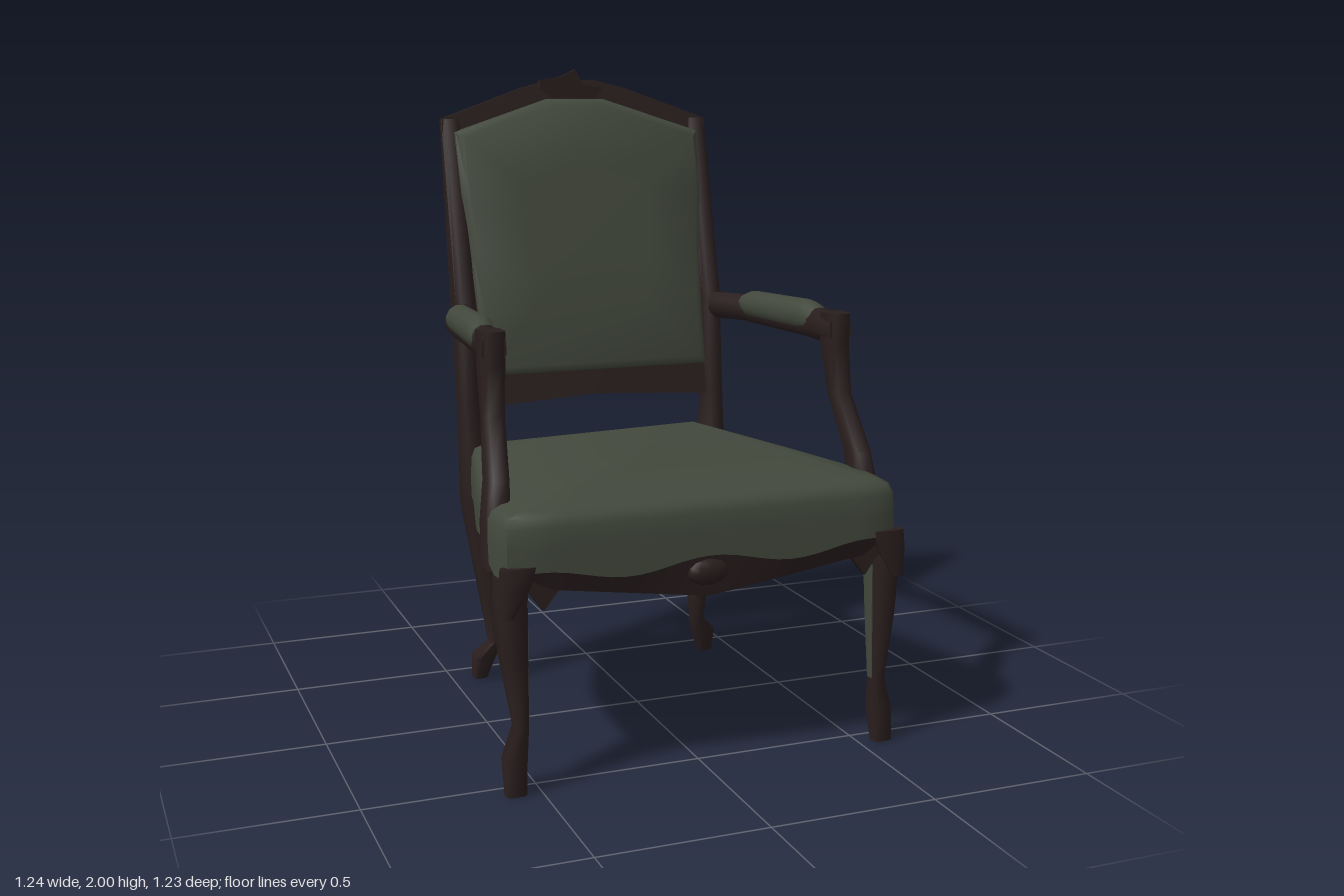
import * as THREE from 'three';
import { toCreasedNormals } from 'three/addons/utils/BufferGeometryUtils.js';

// Double-sided, as the seat is an open shell underneath
const wood = new THREE.MeshStandardMaterial({ color: 0x2a1e1e, side: THREE.DoubleSide });
wood.name = 'dark wood';
const fabric = new THREE.MeshStandardMaterial({ color: 0x42483c, side: THREE.DoubleSide });
fabric.name = 'green upholstery';

// Skin rings that run counter-clockwise around their direction of travel.
// start and end are optional cap centres.
function loft(rings, start, end, crease = 0.8) {
  const n = rings[0].length, pos = rings.flat(2), idx = [];
  for (let i = 0; i < rings.length - 1; i++) {
    for (let j = 0; j < n; j++) {
      const k = (j + 1) % n, a = i * n + j, b = i * n + k;
      idx.push(a, b, b + n, a, b + n, a + n);
    }
  }
  const cap = (centre, base, flip) => {
    const c = pos.length / 3;
    pos.push(...centre);
    for (let j = 0; j < n; j++) {
      const a = base + j, b = base + (j + 1) % n;
      idx.push(c, flip ? b : a, flip ? a : b);
    }
  };
  if (start) cap(start, 0, true);
  if (end) cap(end, (rings.length - 1) * n, false);
  const g = new THREE.BufferGeometry();
  g.setAttribute('position', new THREE.Float32BufferAttribute(pos, 3));
  g.setIndex(idx);
  g.computeVertexNormals();
  return toCreasedNormals(g, crease);
}

// Upright bar with chamfered edges, rows: [x, y, z, halfX, halfZ] from the floor up
function upright(rows, s) {
  const corners = [[1, 0.6], [1, -0.6], [0.6, -1], [-0.6, -1], [-1, -0.6], [-1, 0.6], [-0.6, 1], [0.6, 1]];
  const rings = rows.map(([x, y, z, a, b]) => corners.map(([u, v]) => [s * x + u * a, y, z + v * b]));
  const mid = ([x, y, z]) => [s * x, y, z];
  return loft(rings, mid(rows[0]), mid(rows.at(-1)), 1);
}

// Rounded bar along z, rows: [x, y, z, halfX, halfY] from back to front
function lengthwise(rows, s, sides) {
  const r = 1 / Math.cos(Math.PI / sides);
  const rings = rows.map(([x, y, z, a, b]) => Array.from({ length: sides }, (_, i) => {
    const t = ((i + 0.5) / sides) * Math.PI * 2;
    return [s * x + a * r * Math.cos(t), y + b * r * Math.sin(t), z];
  }));
  const mid = ([x, y, z]) => [s * x, y, z];
  return loft(rings, mid(rows[0]), mid(rows.at(-1)), 1.1);
}

const shapeOf = pts => new THREE.Shape(pts.map(p => new THREE.Vector2(...p)));
const mirrorLoop = half => [...half, ...half.slice().reverse().map(([x, y]) => [-x, y])];

// Raked planes of the backrest
const backZ = y => -0.445 - (y - 0.92) * 0.163;
const frontZ = y => y < 1.2 ? -0.387 - (y - 0.92) * 0.075 : -0.408 - (y - 1.2) * 0.25;

export function createModel() {
  const chair = new THREE.Group();
  chair.name = 'armchair';
  const add = (name, geo, mat) => {
    const m = new THREE.Mesh(geo, mat);
    m.name = name;
    chair.add(m);
    return m;
  };

  // Seat outline, tapering to the back, as [x, z]
  const outline = shapeOf(mirrorLoop([[0.5, 0.595], [0.6, 0.575], [0.615, 0.43], [0.54, 0.06], [0.43, -0.4]]));
  outline.closePath();
  const rim = outline.getSpacedPoints(96).slice(0, -1).map(p => [p.x, p.y]);
  const lower = (x, z) => z > 0.57 ? 0.52 + 0.14 * Math.abs(x)
    : z > -0.395 ? 0.52 + 0.18 * Math.abs(z - 0.06) : 0.6;
  // Wavy seam between wood and fabric; the fabric drops lower at the front corners
  const wave = (x, z) => z > 0.57 ? 0.625 + 0.018 * Math.cos(Math.abs(x) * 12.5)
    : z > 0.46 ? 0.615 : 0.653 + 0.012 * Math.cos((z - 0.06) * 15 + Math.PI);
  const ring = (k, y) => rim.map(([x, z]) =>
    [x * k, typeof y === 'function' ? y(x, z) : y, 0.1 + (z - 0.1) * k]);
  add('seatCushion', loft([ring(1, wave), ring(1, 0.71), ring(0.995, 0.765), ring(0.975, 0.792), ring(0.93, 0.805)],
    null, [0.2, 0.897, -0.03], 1), fabric);
  add('apron', loft([ring(0.97, lower), ring(1, wave)]), wood);

  // Carved shell in the middle of the front apron
  const shell = add('apronShell', new THREE.SphereGeometry(1, 12, 8), wood);
  shell.scale.set(0.065, 0.04, 0.025);
  shell.position.set(-0.01, 0.595, 0.585);

  // Backrest: a solid wooden panel, thinning toward the arched top
  const panel = new THREE.ExtrudeGeometry(shapeOf(mirrorLoop([
    [0, 0.94], [0.46, 0.915], [0.46, 1.84], [0.18, 1.94], [0.08, 1.965],
  ])), { depth: 1, bevelEnabled: false });
  const p = panel.attributes.position;
  for (let i = 0; i < p.count; i++) {
    const y = p.getY(i);
    p.setZ(i, p.getZ(i) > 0.5 ? frontZ(y) : backZ(y));
  }
  panel.computeVertexNormals();
  add('backPanel', panel, wood);

  // Back cushion, swelling forward of the panel, more so toward the top
  const pad = mirrorLoop([[0.4, 1.02], [0.39, 1.2], [0.4, 1.4], [0.42, 1.6], [0.425, 1.8], [0.1, 1.905]]);
  const padRing = (k, out) => pad.map(([x, y0]) => {
    const y = 1.45 + (y0 - 1.45) * k;
    return [x * k, y, frontZ(y) + out * (0.3 + 0.7 * (y - 1.02) / 0.8)];
  });
  add('backCushion', loft([padRing(1, -0.01), padRing(0.99, 0.015), padRing(0.94, 0.038), padRing(0.5, 0.038)],
    null, [0, 1.45, frontZ(1.45) + 0.026]), fabric);

  // Carved crest
  const crest = new THREE.ExtrudeGeometry(shapeOf([
    [-0.12, 1.94], [-0.07, 1.9], [0.07, 1.9], [0.1, 1.94], [0.03, 1.95], [0.005, 2], [-0.05, 1.975], [-0.12, 1.965],
  ]), { depth: 0.018, bevelEnabled: false });
  crest.translate(0, 0, -0.605);
  add('crest', crest, wood);

  for (const [s, side] of [[1, 'left'], [-1, 'right']]) {
    // Front leg: slim ankle and small foot
    const frontLeg = [
      [0.575, 0, 0.557, 0.03, 0.019], [0.573, 0.1, 0.54, 0.032, 0.037], [0.557, 0.2, 0.55, 0.02, 0.027],
      [0.572, 0.4, 0.535, 0.036, 0.045], [0.577, 0.55, 0.527, 0.042, 0.055], [0.572, 0.62, 0.52, 0.04, 0.06],
    ];
    add(side + 'FrontLeg', upright(frontLeg, s), wood);
    // Green strip on the inner face of the leg
    add(side + 'LegStrip', upright(frontLeg.slice(2, 5).map(([x, y, z, a, b]) =>
      [x - a, y, z, 0.004, b * 0.5]), s), fabric);

    // Carved knee over the front corner, and the pointed scroll beside it
    add(side + 'Knee', upright([
      [0.6, 0.52, 0.58, 0.016, 0.016], [0.578, 0.6, 0.577, 0.042, 0.022], [0.565, 0.66, 0.577, 0.05, 0.02],
    ], s), wood);
    const scrollPts = [[0.44, 0.6], [0.495, 0.53], [0.54, 0.59], [0.52, 0.65]].map(([x, y]) => [s * x, y]);
    const scroll = new THREE.ExtrudeGeometry(shapeOf(scrollPts), { depth: 0.03, bevelEnabled: false });
    scroll.translate(0, 0, 0.55);
    add(side + 'KneeScroll', scroll, wood);

    // Back leg with kicked-out foot, continuing up as the back post
    add(side + 'BackLeg', upright([
      [0.408, 0, -0.41, 0.022, 0.025], [0.395, 0.08, -0.4, 0.036, 0.042], [0.363, 0.13, -0.375, 0.02, 0.028],
      [0.373, 0.3, -0.385, 0.037, 0.037], [0.39, 0.6, -0.393, 0.07, 0.052], [0.425, 0.8, -0.405, 0.036, 0.045],
      [0.43, 0.95, -0.415, 0.031, 0.035], [0.43, 1.25, -0.45, 0.032, 0.048], [0.43, 1.84, -0.58, 0.031, 0.014],
    ], s), wood);

    // Arm, front support and upholstered pad
    add(side + 'Arm', lengthwise([
      [0.435, 1.215, -0.44, 0.038, 0.042], [0.5, 1.22, -0.26, 0.04, 0.042], [0.504, 1.212, -0.22, 0.034, 0.036],
      [0.532, 1.212, 0.13, 0.034, 0.036], [0.535, 1.222, 0.18, 0.038, 0.047], [0.545, 1.218, 0.3, 0.036, 0.047],
    ], s, 8), wood);
    add(side + 'ArmSupport', upright([
      [0.575, 0.62, 0.415, 0.042, 0.057], [0.578, 0.75, 0.4, 0.036, 0.052], [0.568, 0.86, 0.38, 0.032, 0.042],
      [0.55, 1.02, 0.293, 0.032, 0.026], [0.545, 1.17, 0.264, 0.035, 0.046], [0.545, 1.267, 0.264, 0.036, 0.047],
    ], s), wood);
    add(side + 'ArmPad', lengthwise([
      [0.498, 1.237, -0.265, 0.036, 0.03], [0.502, 1.235, -0.225, 0.044, 0.044],
      [0.53, 1.238, 0.1, 0.044, 0.05], [0.535, 1.236, 0.14, 0.043, 0.046], [0.537, 1.236, 0.175, 0.037, 0.034],
    ], s, 12), fabric);
  }
  return chair;
}
